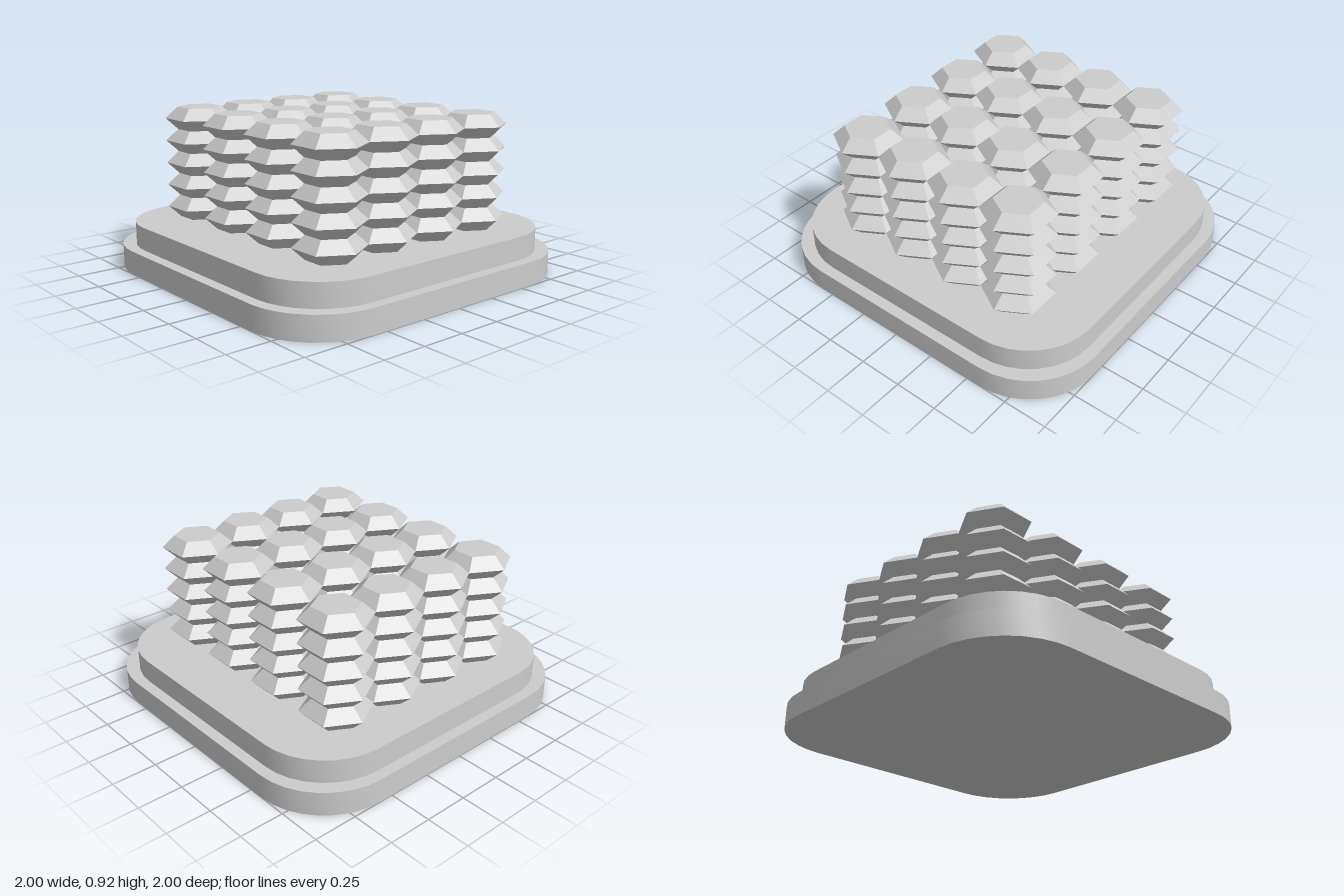
import * as THREE from 'three';
import { toCreasedNormals } from 'three/addons/utils/BufferGeometryUtils.js';

const smoothGrey = new THREE.MeshStandardMaterial({ color: 0xcccccc });
const facetedGrey = new THREE.MeshStandardMaterial({ color: 0xcccccc, flatShading: true });

// Square slab with rounded corners, standing on y
function slab(name, half, radius, y, height) {
  const c = half - radius;
  const shape = new THREE.Shape();
  shape.absarc(c, c, radius, 0, Math.PI / 2);
  shape.absarc(-c, c, radius, Math.PI / 2, Math.PI);
  shape.absarc(-c, -c, radius, Math.PI, Math.PI * 1.5);
  shape.absarc(c, -c, radius, Math.PI * 1.5, Math.PI * 2);
  shape.closePath();
  const geometry = new THREE.ExtrudeGeometry(shape, { depth: height, bevelEnabled: false, curveSegments: 4 });
  geometry.rotateX(-Math.PI / 2);
  const mesh = new THREE.Mesh(toCreasedNormals(geometry, Math.PI / 6), smoothGrey);
  mesh.name = name;
  mesh.position.y = y;
  return mesh;
}

// Zigzag hexagonal column: wide at the middle of each layer, narrow between layers
function columnGeometry(layers, layerHeight, wide, narrow) {
  const profile = [new THREE.Vector2(0, 0)];
  for (let i = 0; i <= layers * 2; i++) {
    profile.push(new THREE.Vector2(i % 2 ? wide : narrow, i * layerHeight / 2));
  }
  profile.push(new THREE.Vector2(0, layers * layerHeight));
  return new THREE.LatheGeometry(profile, 6);
}

export function createModel() {
  const model = new THREE.Group();
  model.name = 'hexColumnBlock';

  // Stepped base
  model.add(slab('lowerBase', 1, 0.42, 0, 0.136));
  model.add(slab('upperBase', 0.937, 0.394, 0.136, 0.132));

  // Four by four grid of columns
  const columns = new THREE.Group();
  columns.name = 'columns';
  const wide = 0.198;
  const geometry = columnGeometry(5, 0.1305, wide, 0.128);
  for (let row = 0; row < 4; row++) {
    for (let col = 0; col < 4; col++) {
      const column = new THREE.Mesh(geometry, facetedGrey);
      column.name = `column${row + 1}_${col + 1}`;
      column.position.set((col - 1.5) * wide * Math.sqrt(3), 0.268, (row - 1.5) * wide * 2 - 0.002);
      columns.add(column);
    }
  }
  model.add(columns);
  return model;
}
